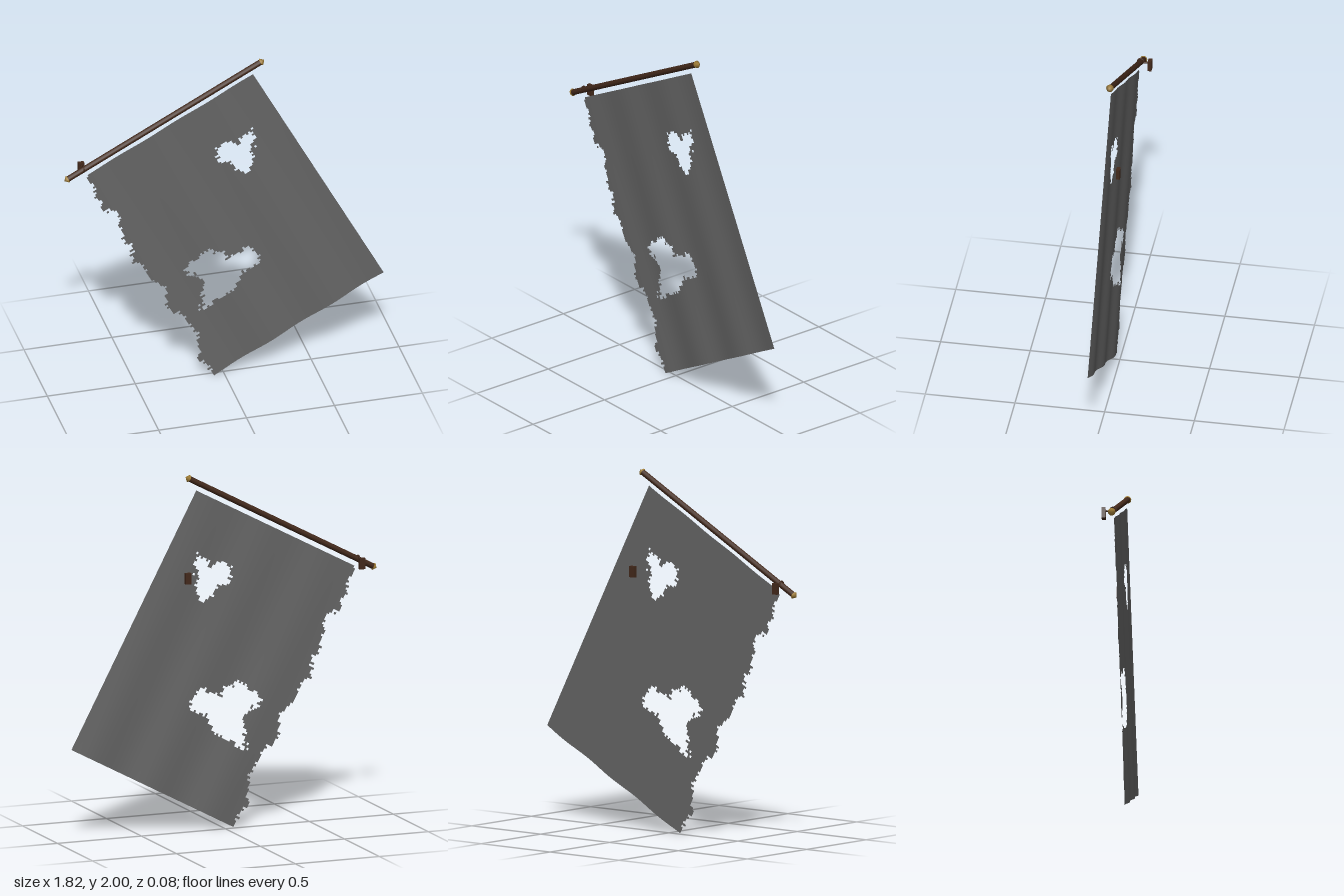
import * as THREE from 'three';

const wood = new THREE.MeshStandardMaterial({ color: 0x43291b });
wood.name = 'dark wood';
const brass = new THREE.MeshStandardMaterial({ color: 0xa8843a });
brass.name = 'brass';
const fabric = new THREE.MeshStandardMaterial({ color: 0x666666, side: THREE.DoubleSide });
fabric.name = 'grey fabric';

const TILT = 0.488;
const POLE_Z = 0.02;

// Torn outline and two holes, as x, y pairs
const outline = [
  -0.81, 1.42, -0.78, 1.39, -0.71, 1.23, -0.68, 1.16, -0.60, 1.14, -0.58, 0.96, -0.53, 0.91,
  -0.52, 0.80, -0.47, 0.78, -0.39, 0.64, -0.33, 0.60, -0.33, 0.47, -0.23, 0.41, -0.14, 0.25,
  -0.14, 0.11, -0.07, 0.04, -0.03, -0.1, 1.1, 0.4, 0.17, 2.1,
];
const upperHole = [
  -0.04, 1.40, -0.03, 1.42, -0.05, 1.46, -0.01, 1.47, -0.01, 1.50, 0.05, 1.48, 0.10, 1.46, 0.09, 1.51,
  0.16, 1.55, 0.17, 1.49, 0.15, 1.47, 0.17, 1.44, 0.14, 1.42, 0.16, 1.39, 0.15, 1.28, 0.12, 1.27,
  0.11, 1.30, 0.06, 1.29, 0.05, 1.34, 0.02, 1.37, -0.03, 1.35,
];
const lowerHole = [
  -0.23, 0.72, -0.19, 0.74, -0.16, 0.76, -0.08, 0.82, -0.06, 0.79, -0.01, 0.80, 0.01, 0.74, 0.11, 0.78,
  0.12, 0.81, 0.15, 0.80, 0.18, 0.73, 0.21, 0.70, 0.17, 0.67, 0.09, 0.63, 0.08, 0.57, 0.04, 0.51,
  -0.01, 0.50, -0.06, 0.47, -0.10, 0.44, -0.14, 0.43, -0.12, 0.48, -0.13, 0.56, -0.11, 0.60,
  -0.14, 0.64, -0.17, 0.67, -0.19, 0.64,
];

function inside(poly, x, y) {
  let hit = false;
  const n = poly.length;
  for (let i = 0, j = n - 2; i < n; j = i, i += 2) {
    const [ax, ay, bx, by] = [poly[i], poly[i + 1], poly[j], poly[j + 1]];
    if ((ay > y) !== (by > y) && x < ((bx - ax) * (y - ay)) / (by - ay) + ax) hit = !hit;
  }
  return hit;
}

// Repeatable noise from -1 to 1 for the loose threads
function noise(i) {
  const s = Math.sin(i * 127.1 + 3.7) * 43758.5453;
  return (s - Math.floor(s)) * 2 - 1;
}

// Woven grid of small cells; cells beyond the tears are left out
function clothGeometry() {
  const width = 1.13, height = 1.583, cols = 90, rows = 126;
  const c = Math.cos(TILT), s = Math.sin(TILT);
  const place = (u, v) => [0.164 + u * c + v * s, 1.907 + u * s - v * c];
  const positions = [], indices = [];
  for (let r = 0; r <= rows; r++) {
    for (let k = 0; k <= cols; k++) {
      const u = (k / cols - 1) * width, v = (r / rows) * height;
      const wave = (0.003 + 0.003 * (r / rows)) * Math.sin(u * 16 + v * 0.4);
      positions.push(...place(u, v), 0.022 + wave);
    }
  }
  for (let r = 0; r < rows; r++) {
    for (let k = 0; k < cols; k++) {
      const u = ((k + 0.5) / cols - 1) * width + 0.013 * noise(r);
      const v = ((r + 0.5) / rows) * height + 0.013 * noise(k + 500);
      const [x, y] = place(u, v);
      if (!inside(outline, x, y) || inside(upperHole, x, y) || inside(lowerHole, x, y)) continue;
      const a = r * (cols + 1) + k, b = a + cols + 1;
      indices.push(a, b, b + 1, a, b + 1, a + 1);
    }
  }
  const g = new THREE.BufferGeometry();
  g.setAttribute('position', new THREE.Float32BufferAttribute(positions, 3));
  g.setIndex(indices);
  g.computeVertexNormals();
  return g;
}

export function createModel() {
  const model = new THREE.Group();
  model.name = 'tornBanner';
  const add = (name, geometry, material, x, y, z, parent = model) => {
    const mesh = new THREE.Mesh(geometry, material);
    mesh.name = name;
    mesh.position.set(x, y, z);
    parent.add(mesh);
    return mesh;
  };

  add('cloth', clothGeometry(), fabric, 0, 0, 0);

  // Tilted pole with pointed end caps
  const rail = new THREE.Group();
  rail.name = 'rail';
  rail.position.set(-0.34, 1.6865, POLE_Z);
  rail.rotation.z = TILT - Math.PI / 2;
  model.add(rail);
  const half = 0.623;
  add('pole', new THREE.CylinderGeometry(0.016, 0.016, half * 2, 12), wood, 0, 0, 0, rail);
  for (const side of [-1, 1]) {
    add('finial', new THREE.SphereGeometry(0.021, 12, 2), brass, 0, side * half, 0, rail);
  }

  // Wall plates; the right one still holds the pole
  for (const x of [-0.8, 0.236]) {
    add('wallPlate', new THREE.BoxGeometry(0.034, 0.062, 0.021), wood, x, 1.428, -0.0315);
  }
  const arm = add('bracketArm', new THREE.CylinderGeometry(0.005, 0.005, 0.04, 8), wood, -0.8, 1.441, -0.005);
  arm.rotation.x = Math.PI / 2 + 0.15;
  const hook = add('bracketHook', new THREE.TorusGeometry(0.017, 0.004, 6, 16), wood, -0.8, 1.447, POLE_Z);
  hook.rotation.y = Math.PI / 2;
  return model;
}
